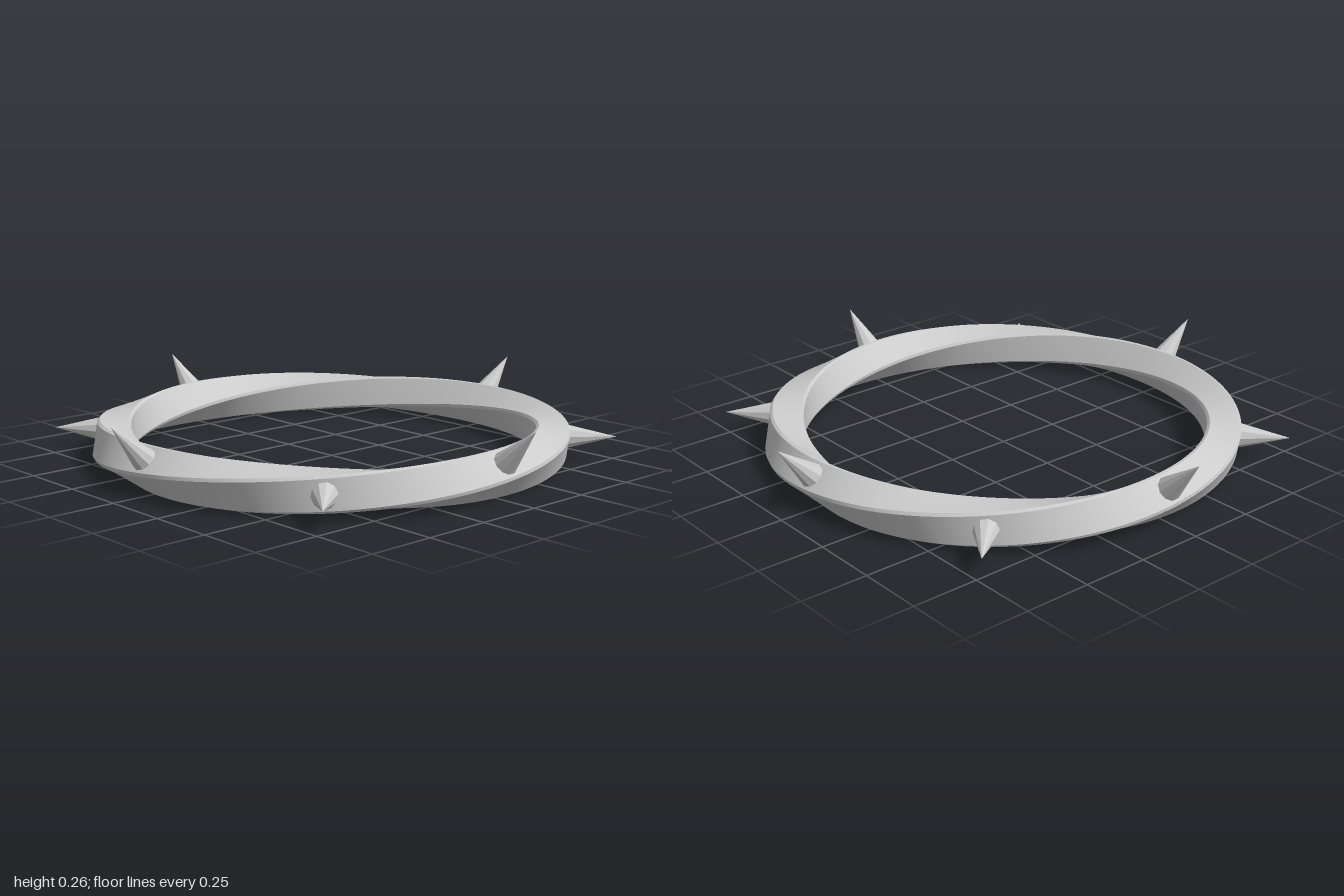
import * as THREE from 'three';

const RADIUS = 0.8225, MID_Y = 0.085;   // centre line of the ring
const HALF = 0.064, BEVEL = 0.009;      // square section and its edge bevel
const SEGMENTS = 192;
const TIP = 0.25;                       // spike tip, measured from the centre line

// Point at ring angle a (0 = front, +90 deg = +x), r outwards and y up from the centre line
const ringPoint = (a, r, y) => new THREE.Vector3(
  Math.sin(a) * (RADIUS + r), MID_Y + y, Math.cos(a) * (RADIUS + r));

// Bevelled square whose section makes one full turn around the ring
function twistedRing(material) {
  const h = HALF, k = HALF - BEVEL;
  const section = [[h, -k], [h, k], [k, h], [-k, h], [-h, k], [-h, -k], [-k, -h], [k, -h]];
  const positions = [], indices = [];
  section.forEach((p, side) => {
    const q = section[(side + 1) % section.length];
    const base = side * SEGMENTS * 2;
    for (let i = 0; i < SEGMENTS; i++) {
      const a = i / SEGMENTS * Math.PI * 2;
      const turn = a + Math.PI / 4;     // diamond at the front, square on the diagonals
      const c = Math.cos(turn), s = Math.sin(turn);
      for (const [u, v] of [p, q]) {
        positions.push(...ringPoint(a, u * c - v * s, u * s + v * c).toArray());
      }
      const n = base + i * 2, m = base + ((i + 1) % SEGMENTS) * 2;
      indices.push(n, m, n + 1, n + 1, m, m + 1);
    }
  });
  const geometry = new THREE.BufferGeometry();
  geometry.setAttribute('position', new THREE.Float32BufferAttribute(positions, 3));
  geometry.setIndex(indices);
  geometry.computeVertexNormals();
  const ring = new THREE.Mesh(geometry, material);
  ring.name = 'twistedRing';
  return ring;
}

// Faceted cone leaning up by tilt from the horizontal
function spike(degrees, tilt, material) {
  const a = THREE.MathUtils.degToRad(degrees);
  const start = HALF - 0.002, length = TIP - start;
  const geometry = new THREE.ConeGeometry(0.046, length, 10);
  geometry.translate(0, start + length / 2, 0);
  const mesh = new THREE.Mesh(geometry, material);
  mesh.position.copy(ringPoint(a, 0, 0));
  const direction = new THREE.Vector3(
    Math.sin(a) * Math.cos(tilt), Math.sin(tilt), Math.cos(a) * Math.cos(tilt));
  mesh.quaternion.setFromUnitVectors(new THREE.Vector3(0, 1, 0), direction);
  mesh.name = 'spike';
  return mesh;
}

export function createModel() {
  const model = new THREE.Group();
  model.name = 'spikedRing';
  const smooth = new THREE.MeshStandardMaterial({ color: 0xcccccc });
  const faceted = new THREE.MeshStandardMaterial({ color: 0xcccccc, flatShading: true });
  model.add(twistedRing(smooth));

  // Raised spikes on the axes, level ones on the diagonals (one slightly off)
  const spikes = new THREE.Group();
  spikes.name = 'spikes';
  for (const d of [0, 90, 180, 270]) spikes.add(spike(d, Math.PI / 4, faceted));
  for (const d of [46, 135, 226, 311.5]) spikes.add(spike(d, 0, faceted));
  model.add(spikes);
  return model;
}
